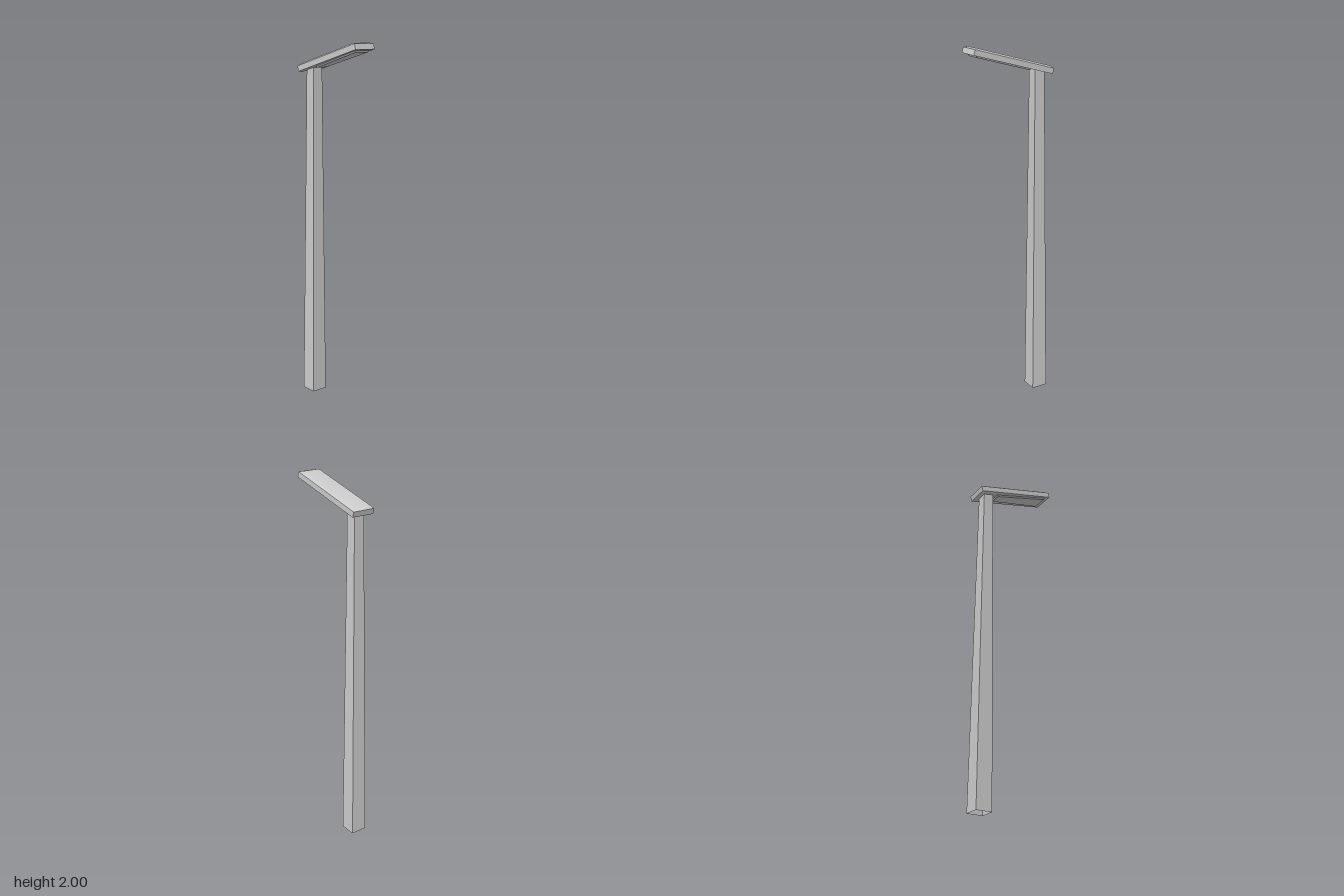
import * as THREE from 'three';

// Four-cornered ring: x range, z half-widths at both ends, height at both ends
function ring(x0, x1, z0, z1, y0, y1 = y0) {
  return [[x0, y0, z0], [x1, y1, z1], [x1, y1, -z1], [x0, y0, -z0]];
}

// Skin between rings (lowest first), with optional end caps
function loft(name, rings, { bottom = false, top = false, smooth = false } = {}) {
  const index = [];
  for (let r = 0; r < rings.length - 1; r++) {
    for (let i = 0; i < 4; i++) {
      const a = r * 4 + i, b = r * 4 + (i + 1) % 4;
      index.push(a, b, b + 4, a, b + 4, a + 4);
    }
  }
  if (bottom) index.push(0, 2, 1, 0, 3, 2);
  const t = (rings.length - 1) * 4;
  if (top) index.push(t, t + 1, t + 2, t, t + 2, t + 3);

  let geometry = new THREE.BufferGeometry();
  geometry.setAttribute('position', new THREE.Float32BufferAttribute(rings.flat(2), 3));
  geometry.setIndex(index);
  if (!smooth) geometry = geometry.toNonIndexed();
  geometry.computeVertexNormals();
  const material = new THREE.MeshStandardMaterial({ color: 0xcccccc, side: THREE.DoubleSide });
  const mesh = new THREE.Mesh(geometry, material);
  mesh.name = name;
  return mesh;
}

export function createModel() {
  const model = new THREE.Group();
  model.name = 'streetLamp';

  // Tapered square pole, open at the foot, cut to the slope of the head
  model.add(loft('pole', [
    ring(-0.23, -0.138, 0.046, 0.046, 0),
    ring(-0.201, -0.143, 0.03, 0.03, 1.85, 1.866),
  ]));

  // Tilted lamp head, modelled flat from its lower left edge
  const head = new THREE.Group();
  head.name = 'lampHead';
  head.position.set(-0.231, 1.842, 0);
  head.rotation.z = THREE.MathUtils.degToRad(15);
  const length = 0.484, wall = 0.03, half = 0.065;

  head.add(loft('housing', [
    ring(0, length, half, half, 0),
    ring(0, length, half, half, wall),
  ], { bottom: true }));

  // Softly bevelled lid
  head.add(loft('lid', [
    ring(0, length, half, half, wall),
    ring(0.02, length - 0.02, half - 0.012, half - 0.012, wall + 0.009),
  ], { top: true, smooth: true }));

  // Light panel under the head, narrowing towards the pole
  head.add(loft('lightPanel', [
    ring(0.125, 0.452, 0.03, 0.044, -0.008),
    ring(0.118, 0.46, 0.034, 0.049, 0),
  ], { bottom: true }));

  model.add(head);
  return model;
}
